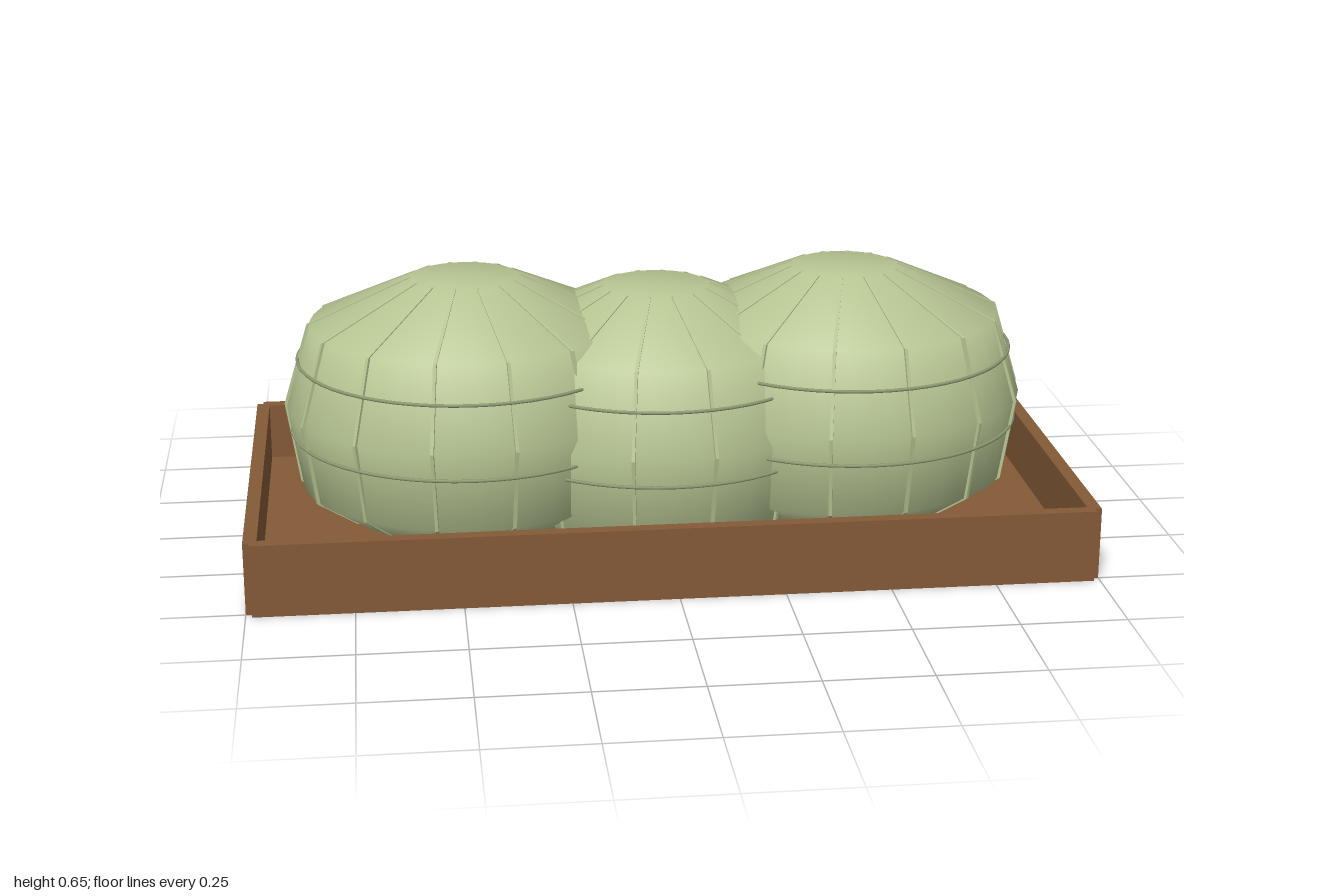
import * as THREE from 'three';

export function createModel() {
  const wood = new THREE.MeshStandardMaterial({ color: 0x845a37 });
  wood.name = 'brown wood';
  const green = new THREE.MeshStandardMaterial({ color: 0xb7c593 });
  green.name = 'pale green';
  const trim = new THREE.MeshStandardMaterial({ color: 0x8f9a74 });
  trim.name = 'dull green';

  const model = new THREE.Group();
  const add = (parent, name, geometry, material, x = 0, y = 0, z = 0) => {
    const mesh = new THREE.Mesh(geometry, material);
    mesh.name = name;
    mesh.position.set(x, y, z);
    parent.add(mesh);
    return mesh;
  };

  // Open tray: floor and four walls with notched corners
  const tray = new THREE.Group();
  tray.name = 'tray';
  model.add(tray);
  add(tray, 'trayFloor', new THREE.BoxGeometry(1.97, 0.03, 1.0), wood, 0, 0.0155);
  for (const s of [-1, 1]) {
    add(tray, 'longWall', new THREE.BoxGeometry(1.97, 0.175, 0.032), wood, 0, 0.0875, s * 0.501);
    add(tray, 'shortWall', new THREE.BoxGeometry(0.032, 0.175, 1.0), wood, s * 0.984, 0.0875, 0);
  }

  // Rib profile as radius and height, bottom to top
  const profile = [[0.13, 0.036], [0.31, 0.07], [0.412, 0.14], [0.444, 0.34], [0.383, 0.54], [0.134, 0.65]];
  const inset = (d) => profile.map(([r, y]) => new THREE.Vector2(r - d, y));

  // Smooth body with flat poles, sitting just inside the ribs
  const bodyGeometry = new THREE.LatheGeometry(
    [new THREE.Vector2(0, 0.036), ...inset(0.006), new THREE.Vector2(0, 0.65)], 42);

  // Thin rib cut from the profile
  const ribGeometry = new THREE.ExtrudeGeometry(
    new THREE.Shape([...inset(0), ...inset(0.014).reverse()]),
    { depth: 0.008, bevelEnabled: false });
  ribGeometry.translate(0, 0, -0.004);

  const ribCount = 14;
  const rings = [[0.428, 0.278], [0.409, 0.455]];

  // Three overlapping round bodies, the middle one set lower
  for (const [name, x, y] of [['right', -0.465, 0], ['middle', 0, -0.035], ['left', 0.465, 0]]) {
    const ball = new THREE.Group();
    ball.name = name + 'Round';
    ball.position.set(x, y, 0);
    model.add(ball);

    const ribbed = new THREE.Group();
    ribbed.name = 'ribbedBody';
    ribbed.scale.z = 0.96;
    ball.add(ribbed);
    add(ribbed, 'body', bodyGeometry, green);
    for (let i = 0; i < ribCount; i++) {
      add(ribbed, 'rib', ribGeometry, green).rotation.y = (i / ribCount) * Math.PI * 2;
    }

    // Horizontal bands
    for (const [radius, height] of rings) {
      const band = new THREE.TorusGeometry(radius, 0.004, 6, 56);
      add(ball, 'band', band, trim, 0, height, 0).rotation.x = Math.PI / 2;
    }
  }
  return model;
}
